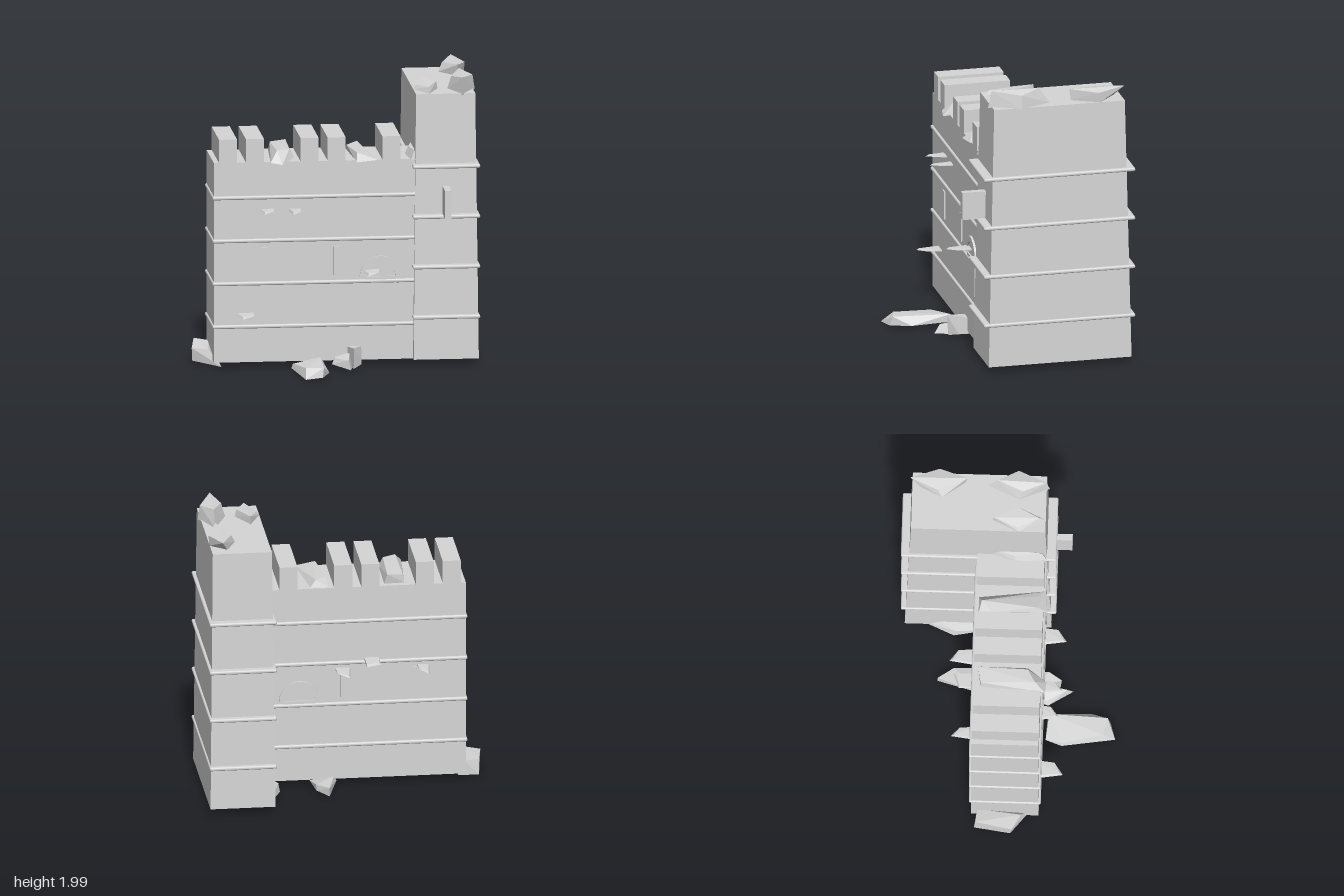
import * as THREE from 'three';
import { ConvexGeometry } from 'three/addons/geometries/ConvexGeometry.js';
import { RoundedBoxGeometry } from 'three/addons/geometries/RoundedBoxGeometry.js';

export function createModel() {
  const model = new THREE.Group();
  model.name = 'ruinedCastleWall';
  const stone = new THREE.MeshStandardMaterial({ color: 0xd6d6d6 });
  stone.name = 'grey stone';

  const add = (name, geometry) => {
    const mesh = new THREE.Mesh(geometry, stone);
    mesh.name = name;
    model.add(mesh);
  };

  // Box given by its limits on each axis; a radius rounds its edges
  const block = (name, [x0, x1], [y0, y1], [z0, z1], radius = 0) => {
    const size = [x1 - x0, y1 - y0, z1 - z0];
    const geometry = radius
      ? new RoundedBoxGeometry(...size, 2, radius)
      : new THREE.BoxGeometry(...size);
    geometry.translate((x0 + x1) / 2, (y0 + y1) / 2, (z0 + z1) / 2);
    add(name, geometry);
  };

  // Faceted broken stone around a few corners
  const rock = (name, corners) =>
    add(name, new ConvexGeometry(corners.map((c) => new THREE.Vector3(...c))));

  // Curtain wall with string courses
  block('wall', [-0.847, 0.56], [0.05, 1.44], [-0.22, 0.24]);
  for (const y of [0.298, 0.597, 0.895, 1.195]) {
    block('wallCourse', [-0.857, 0.56], [y - 0.013, y + 0.013], [-0.237, 0.255], 0.011);
  }

  // Battlements, with gaps where some have fallen
  for (const x of [-0.75, -0.565, -0.19, -0.004, 0.372]) {
    block('merlon', [x - 0.062, x + 0.062], [1.44, 1.602], [-0.22, 0.24]);
  }

  // Slits pass through to both faces
  for (const x of [-0.503, -0.004]) {
    block('arrowSlit', [x - 0.021, x + 0.021], [0.645, 0.845], [-0.23, 0.25]);
  }

  // Doorway and its arch, on both faces
  block('door', [0.189, 0.404], [0.36, 0.63], [-0.23, 0.25]);
  const ring = new THREE.Shape();
  ring.absarc(0, 0, 0.142, 0, Math.PI, false);
  ring.absarc(0, 0, 0.102, Math.PI, 0, true);
  const arch = new THREE.ExtrudeGeometry(ring, {
    depth: 0.49, bevelEnabled: false, curveSegments: 12,
  });
  arch.translate(0.296, 0.63, -0.235);
  add('doorArch', arch);

  // Tapered tower
  const tower = new THREE.BoxGeometry(0.447, 1.84, 1.003);
  const pos = tower.attributes.position;
  for (let i = 0; i < pos.count; i++) {
    if (pos.getY(i) > 0) {
      pos.setX(i, pos.getX(i) * 0.91);
      pos.setZ(i, pos.getZ(i) * 0.915);
    }
  }
  tower.computeVertexNormals();
  tower.translate(0.744, 0.97, -0.216);
  add('tower', tower);
  for (const y of [0.347, 0.697, 1.046, 1.395]) {
    block('towerCourse', [0.513, 0.975], [y - 0.013, y + 0.013], [-0.744, 0.319], 0.011);
  }
  block('towerSlit', [0.72, 0.766], [1.055, 1.25], [0.2, 0.423]);

  // Loose stones on the tower roof
  rock('towerRubbleLarge', [
    [0.775, 1.89, 0.06], [0.86, 1.88, 0.265], [0.965, 1.88, 0.05], [0.87, 1.89, -0.165],
    [0.8, 1.98, 0.08], [0.86, 2, 0.24], [0.95, 1.98, 0.05], [0.87, 2, -0.09],
  ]);
  rock('towerRubbleFront', [
    [0.54, 1.89, 0.06], [0.63, 1.89, 0.24], [0.71, 1.89, 0.05], [0.62, 1.89, -0.12],
    [0.56, 1.92, 0.05], [0.63, 1.93, 0.2], [0.7, 1.94, 0.05], [0.62, 1.945, -0.11],
  ]);
  rock('towerRubbleBack', [
    [0.77, 1.9, -0.47], [0.885, 1.9, -0.31], [0.95, 1.89, -0.5], [0.84, 1.9, -0.62],
    [0.8, 1.96, -0.5], [0.885, 1.98, -0.3], [0.955, 1.96, -0.49], [0.88, 1.975, -0.69],
  ]);

  // Loose stones on the wall walk
  rock('wallRubbleLeft', [
    [-0.43, 1.44, -0.17], [-0.46, 1.44, 0.27], [-0.38, 1.425, 0.28], [-0.29, 1.45, 0.15],
    [-0.29, 1.44, -0.18], [-0.42, 1.5, -0.17], [-0.41, 1.51, 0.2], [-0.32, 1.51, 0.15],
    [-0.31, 1.51, -0.19],
  ]);
  rock('wallRubbleRight', [
    [0.1, 1.44, -0.2], [0.13, 1.43, 0.27], [0.275, 1.44, 0.25], [0.22, 1.44, -0.2],
    [0.1, 1.48, -0.1], [0.14, 1.485, 0.2], [0.23, 1.46, 0.2], [0.18, 1.49, -0.18],
  ]);
  rock('wallRubbleCorner', [
    [0.485, 1.44, 0.05], [0.5, 1.43, 0.26], [0.56, 1.44, 0.22], [0.56, 1.44, -0.2],
    [0.51, 1.49, 0.03], [0.53, 1.495, 0.22], [0.56, 1.5, -0.15],
  ]);

  // Thin stone flakes jutting from either face: [x0, x1, y, tip z]
  const flakes = [
    [-0.54, -0.43, 1.107, 0.37], [-0.34, -0.25, 1.105, 0.39],
    [-0.7, -0.57, 0.385, 0.4], [0.165, 0.29, 0.67, 0.4],
    [-0.6, -0.51, 0.85, -0.37], [-0.06, 0.055, 0.85, -0.395],
  ];
  for (const [x0, x1, y, tip] of flakes) {
    const side = Math.sign(tip);
    const w = x1 - x0;
    rock('wallFlake', [
      [x0, y - 0.007, side * 0.2], [x1, y - 0.004, side * 0.2],
      [x0 + w * 0.1, y + 0.007, side * 0.2], [x1, y + 0.009, side * 0.2],
      [x1 - w * 0.1, y + 0.004, tip - side * 0.06],
      [x0 + w * 0.25, y - 0.008, tip], [x0 + w * 0.3, y + 0.006, tip - side * 0.02],
    ]);
  }
  rock('bluntFlake', [
    [-0.25, 0.905, -0.2], [-0.15, 0.905, -0.2], [-0.25, 0.925, -0.2], [-0.15, 0.925, -0.2],
    [-0.25, 0.905, -0.325], [-0.15, 0.905, -0.36], [-0.24, 0.92, -0.32], [-0.15, 0.92, -0.35],
  ]);

  // Fallen stones around the foot
  rock('footRubbleEnd', [
    [-0.975, 0.03, 0.05], [-0.79, 0.01, 0.19], [-0.8, 0.02, -0.17], [-0.94, 0.03, -0.2],
    [-0.98, 0.12, 0.06], [-0.87, 0.12, 0.12], [-0.84, 0.125, -0.18], [-0.94, 0.14, -0.19],
  ]);
  rock('footRubbleFront', [
    [-0.33, 0.03, 0.38], [-0.27, 0.02, 0.745], [-0.15, 0.025, 0.71], [-0.09, 0.03, 0.57],
    [-0.12, 0.03, 0.28], [-0.29, 0.03, 0.27], [-0.32, 0.06, 0.38], [-0.26, 0.085, 0.66],
    [-0.14, 0.09, 0.69], [-0.12, 0.085, 0.29],
  ]);
  rock('footRubbleDoor', [
    [0.07, 0.02, 0.2], [0.1, 0.01, 0.36], [0.16, 0.03, 0.3], [0.17, 0.03, 0.1],
    [0.06, 0.14, 0.2], [0.1, 0.155, 0.37], [0.16, 0.155, 0.28], [0.17, 0.1, 0.1],
  ]);
  rock('footRubbleDoorSmall', [
    [-0.04, 0.03, 0.28], [0.07, 0.02, 0.45], [0.1, 0.01, 0.3], [0.05, 0.02, 0.0],
    [-0.02, 0.07, 0.27], [0.06, 0.08, 0.41], [0.08, 0.1, 0.28], [0.02, 0.1, 0.05],
  ]);
  rock('footRubbleBack', [
    [0.04, 0.03, -0.2], [0.12, 0.02, -0.48], [0.2, 0.03, -0.38], [0.22, 0.02, -0.15],
    [0.06, 0.07, -0.22], [0.12, 0.08, -0.48], [0.2, 0.07, -0.37],
  ]);
  rock('footRubbleTower', [
    [0.45, 0.03, -0.38], [0.55, 0.045, -0.62], [0.62, 0.04, -0.5], [0.7, 0.03, -0.12],
    [0.6, 0.015, 0], [0.5, 0.012, -0.15], [0.46, 0.09, -0.37], [0.55, 0.11, -0.52],
    [0.55, 0.1, -0.2],
  ]);
  rock('footRubbleUnder', [
    [-0.41, 0.04, 0.07], [-0.31, 0.03, 0.13], [-0.27, 0.04, 0.01], [-0.35, 0.03, -0.03],
    [-0.39, 0.06, 0.05], [-0.29, 0.06, 0.03],
  ]);

  return model;
}
